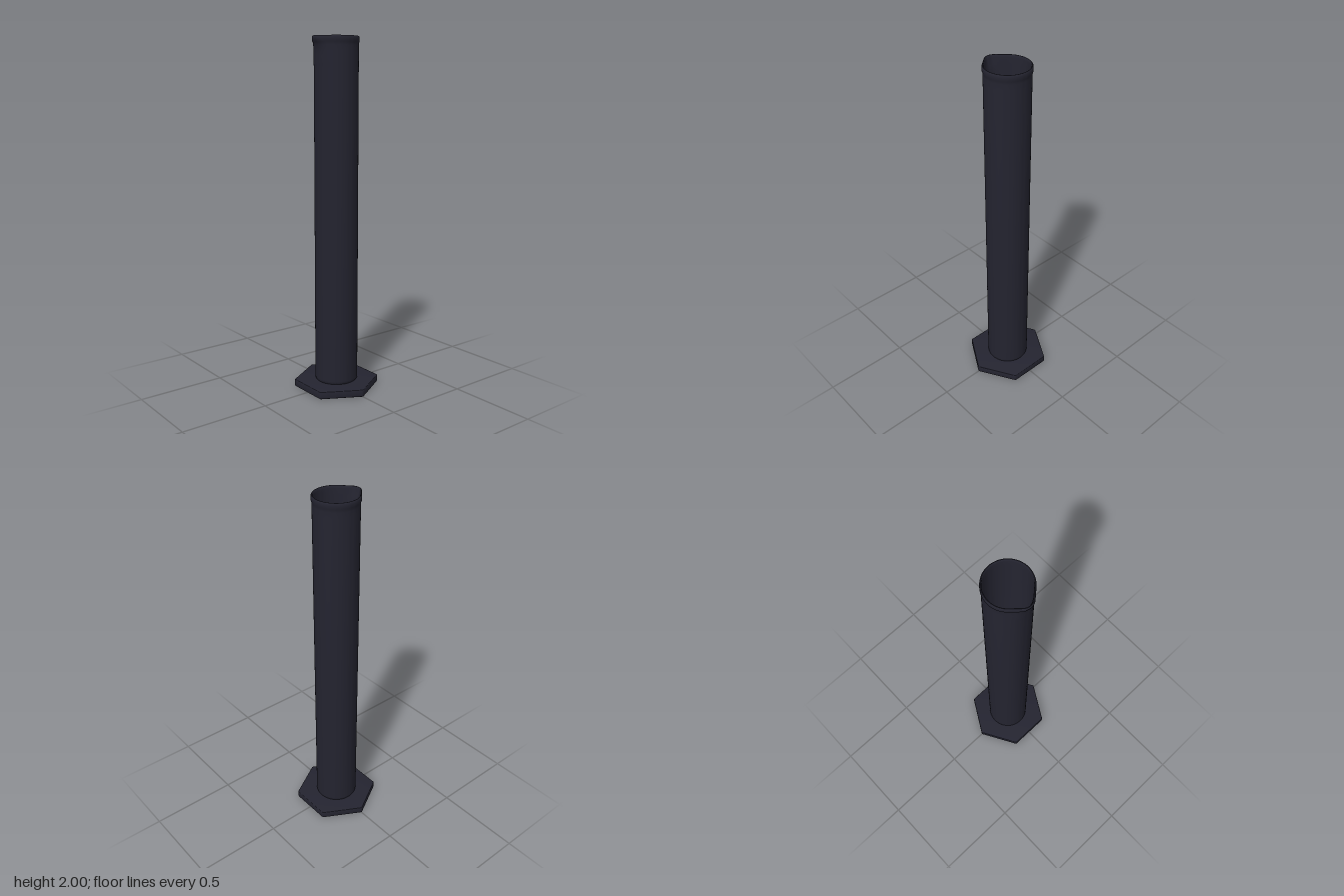
import * as THREE from 'three';
import { mergeVertices, toCreasedNormals } from 'three/addons/utils/BufferGeometryUtils.js';

const SPOUT_ANGLE = THREE.MathUtils.degToRad(42);

// How far the spout reaches beyond the round wall at height y
function spoutReach(y) {
  const keys = [[1.82, 0], [1.85, 0.003], [1.92, 0.007], [1.95, 0.013], [1.985, 0.025], [2.01, 0.025]];
  if (y <= keys[0][0]) return 0;
  const i = keys.findIndex(([ky]) => ky >= y);
  const [y0, e0] = keys[i - 1], [y1, e1] = keys[i];
  return THREE.MathUtils.mapLinear(y, y0, y1, e0, e1);
}

// Wall radius at an angle off the spout: a small tip arc joined to the circle by tangents
function spoutRadius(r, reach, angle) {
  if (reach <= 0 || angle >= SPOUT_ANGLE) return r;
  const c = reach / (1 - Math.cos(SPOUT_ANGLE));
  const tip = r + reach - c;
  const join = Math.atan2(tip * Math.sin(SPOUT_ANGLE), c + tip * Math.cos(SPOUT_ANGLE));
  if (angle > join) return r / Math.cos(SPOUT_ANGLE - angle);
  return c * Math.cos(angle) + Math.sqrt(tip * tip - (c * Math.sin(angle)) ** 2);
}

function smooth(geometry, crease) {
  geometry.deleteAttribute('uv');
  geometry.deleteAttribute('normal');
  return toCreasedNormals(mergeVertices(geometry, 1e-5), crease);
}

// Hollow cylinder with a rolled rim, rounded floor and pouring spout
function vesselGeometry() {
  const profile = [
    [0, 0.038], [0.112, 0.038], [0.118, 0.042], [0.122, 0.049], [0.123, 0.06],
    [0.123, 1.82], [0.123, 1.85], [0.123, 1.89], [0.123, 1.92], [0.123, 1.95],
    [0.124, 1.965], [0.127, 1.972], [0.127, 1.988], [0.126, 1.996], [0.123, 2],
    [0.121, 2], [0.118, 1.996], [0.117, 1.985],
    [0.117, 1.95], [0.117, 1.92], [0.117, 1.89], [0.117, 1.85], [0.117, 1.82], [0.117, 0.13],
  ].map(([x, y]) => new THREE.Vector2(x, y));
  for (let i = 1; i <= 10; i++) {
    const a = (i / 10) * Math.PI / 2;
    profile.push(new THREE.Vector2(i === 10 ? 0 : 0.117 * Math.cos(a), 0.13 - 0.08 * Math.sin(a)));
  }
  const geometry = new THREE.LatheGeometry(profile, 96);
  const p = geometry.attributes.position;
  for (let i = 0; i < p.count; i++) {
    const x = p.getX(i), y = p.getY(i), z = p.getZ(i);
    const r = Math.hypot(x, z);
    if (r < 1e-6) continue;
    const k = spoutRadius(r, spoutReach(y), Math.abs(Math.atan2(z, -x))) / r;
    p.setXYZ(i, x * k, y, z * k);
  }
  return smooth(geometry, 0.8);
}

// Hexagonal foot with softened corners and edges
function footGeometry() {
  const corner = (i) => new THREE.Vector2(0, 0.246).rotateAround(new THREE.Vector2(), i * Math.PI / 3);
  const shape = new THREE.Shape();
  for (let i = 0; i < 6; i++) {
    const c = corner(i);
    const a = c.clone().lerp(corner(i - 1), 0.03);
    const b = c.clone().lerp(corner(i + 1), 0.03);
    if (i === 0) shape.moveTo(a.x, a.y);
    else shape.lineTo(a.x, a.y);
    shape.quadraticCurveTo(c.x, c.y, b.x, b.y);
  }
  shape.closePath();
  const bevel = 0.004;
  const geometry = new THREE.ExtrudeGeometry(shape, {
    depth: 0.042 - 2 * bevel, bevelSize: bevel, bevelThickness: bevel,
    bevelOffset: -bevel, bevelSegments: 3, curveSegments: 4,
  });
  geometry.translate(0, 0, bevel);
  geometry.rotateX(-Math.PI / 2);
  return smooth(geometry, 0.6);
}

export function createModel() {
  const darkPlastic = new THREE.MeshStandardMaterial({ color: 0x242430 });
  darkPlastic.name = 'darkPlastic';

  const model = new THREE.Group();
  model.name = 'measuringCylinder';
  const parts = { vessel: vesselGeometry(), foot: footGeometry() };
  for (const [name, geometry] of Object.entries(parts)) {
    const mesh = new THREE.Mesh(geometry, darkPlastic);
    mesh.name = name;
    model.add(mesh);
  }
  return model;
}
